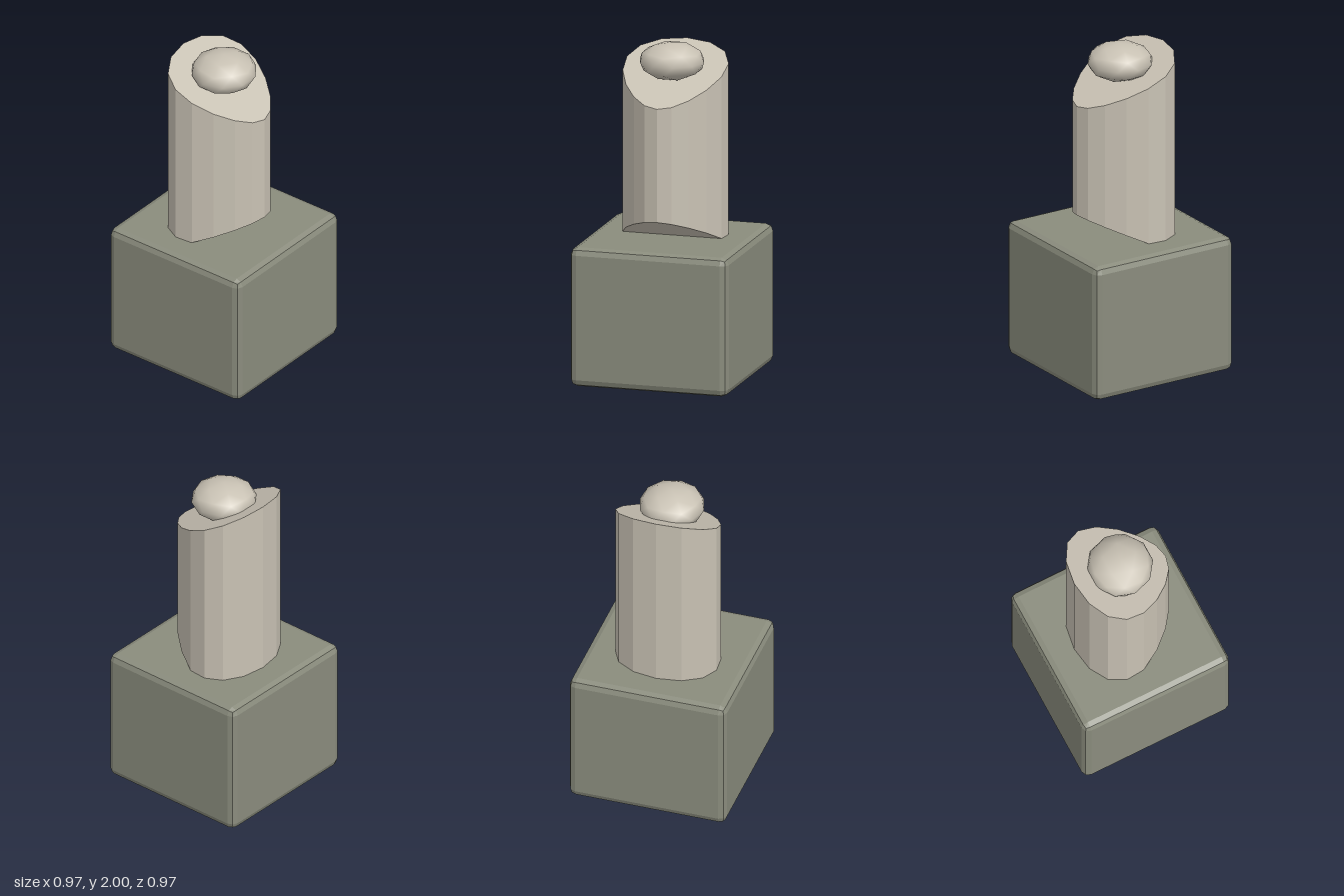
import * as THREE from 'three';
import { RoundedBoxGeometry } from 'three/addons/geometries/RoundedBoxGeometry.js';

// Gives every face its own flat normal
function faceted(geometry) {
  const flat = geometry.index ? geometry.toNonIndexed() : geometry;
  flat.computeVertexNormals();
  return flat;
}

function addPart(group, name, geometry, material, y = 0) {
  const mesh = new THREE.Mesh(geometry, material);
  mesh.name = name;
  mesh.position.y = y;
  group.add(mesh);
}

// Egg-shaped column: narrow towards +x, both ends cut at a slant
function columnGeometry() {
  const geometry = new THREE.CylinderGeometry(0.302, 0.302, 1, 16);
  const p = geometry.attributes.position;
  for (let i = 0; i < p.count; i++) {
    const x = p.getX(i);
    const y = p.getY(i) > 0 ? 1.81 - 0.48 * x : 0.838 + 0.48 * x;
    p.setXYZ(i, x, y, p.getZ(i) * (1 - x));
  }
  return faceted(geometry);
}

// Flattened ball with a vertex at each pole
function ballGeometry() {
  const geometry = new THREE.IcosahedronGeometry(1, 1);
  geometry.rotateZ(-Math.atan(2 / (1 + Math.sqrt(5))));
  geometry.scale(0.196, 0.112, 0.196);
  return geometry;
}

export function createModel() {
  const group = new THREE.Group();
  group.name = 'pedestalSculpture';

  const darkStone = new THREE.MeshStandardMaterial({ color: 0x8a8c7d });
  darkStone.name = 'darkStone';
  const paleStone = new THREE.MeshStandardMaterial({ color: 0xc9c2b4 });
  paleStone.name = 'paleStone';

  // Bevelled plinth
  const plinth = faceted(new RoundedBoxGeometry(0.966, 0.836, 0.966, 1, 0.043));
  addPart(group, 'plinth', plinth, darkStone, 0.418);

  addPart(group, 'column', columnGeometry(), paleStone);
  addPart(group, 'ball', ballGeometry(), paleStone, 1.888);
  return group;
}
